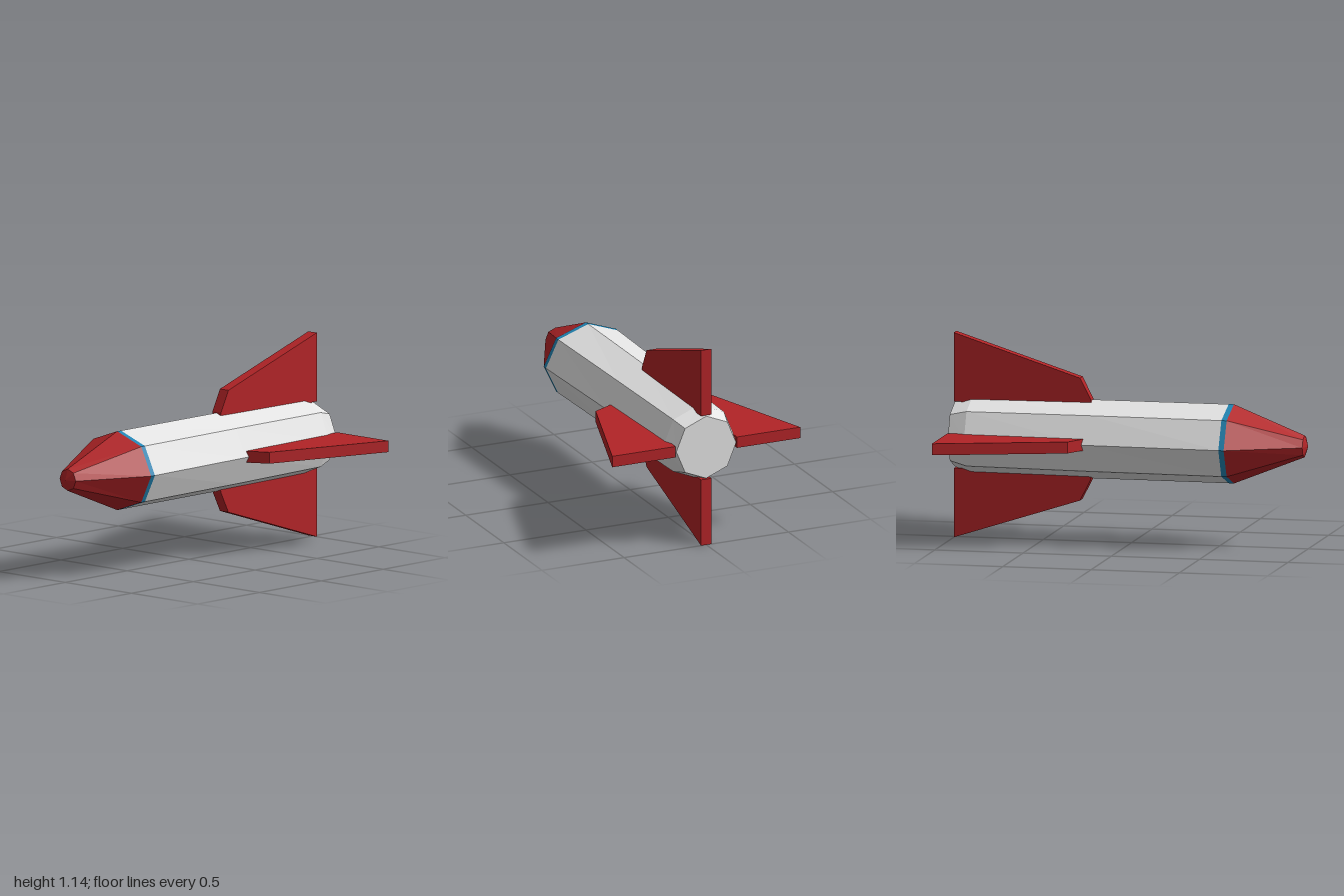
import * as THREE from 'three';

const SIDES = 8;
const AXIS_Y = 0.574; // height of the rocket's long axis

const material = (name, color) => {
  const m = new THREE.MeshStandardMaterial({ color });
  m.name = name;
  return m;
};

// Faceted skin through elliptical octagon stations [z, rx, ry], listed back to front
function octagonLoft(stations) {
  const point = ([z, rx, ry], i) => {
    const a = ((i % SIDES) / SIDES) * Math.PI * 2;
    return [rx * Math.cos(a), ry * Math.sin(a), z];
  };
  const positions = [];
  for (let s = 0; s < stations.length - 1; s++) {
    const back = stations[s], front = stations[s + 1];
    for (let i = 0; i < SIDES; i++) {
      const a = point(back, i), b = point(back, i + 1);
      const c = point(front, i + 1), d = point(front, i);
      if (back[1] > 0) positions.push(...a, ...b, ...c);
      if (front[1] > 0) positions.push(...a, ...c, ...d);
    }
  }
  const geometry = new THREE.BufferGeometry();
  geometry.setAttribute('position', new THREE.Float32BufferAttribute(positions, 3));
  geometry.computeVertexNormals();
  return geometry;
}

// Swept fin plate: x is distance from the axis, y is position along z
function finGeometry(thickness) {
  const shape = new THREE.Shape([
    [0.2, -0.22], [0.225, -0.225], [0.342, -0.285], [0.572, -1],
    [0.187, -1], [0.187, -0.96], [0.17, -0.92],
  ].map(([r, z]) => new THREE.Vector2(r, z)));
  const geometry = new THREE.ExtrudeGeometry(shape, { depth: thickness, bevelEnabled: false });
  geometry.translate(0, 0, -thickness / 2);
  geometry.rotateX(Math.PI / 2); // shape y becomes z
  return geometry;
}

export function createModel() {
  const red = material('red', 0xb22427);
  const white = material('white', 0xe4e4e4);
  const blue = material('blue', 0x2285b4);

  const rocket = new THREE.Group();
  rocket.name = 'rocket';
  rocket.position.y = AXIS_Y;
  const add = (name, geometry, mat) => {
    const mesh = new THREE.Mesh(geometry, mat);
    mesh.name = name;
    rocket.add(mesh);
    return mesh;
  };

  // Body with closed, chamfered tail
  add('body', octagonLoft([
    [-1, 0, 0], [-1, 0.182, 0.182], [-0.9, 0.218, 0.215],
    [-0.2, 0.238, 0.22], [0.55, 0.257, 0.221],
  ]), white);

  // Coloured ring between body and nose
  add('noseBand', octagonLoft([[0.55, 0.257, 0.221], [0.58, 0.257, 0.221]]), blue);

  // Nose cone with blunt tip
  add('noseCone', octagonLoft([
    [0.58, 0.257, 0.221], [0.98, 0.061, 0.061], [1, 0, 0],
  ]), red);

  // Four fins around the tail
  const fin = finGeometry(0.064);
  ['leftFin', 'topFin', 'rightFin', 'bottomFin'].forEach((name, i) => {
    add(name, fin, red).rotation.z = (i * Math.PI) / 2;
  });

  const model = new THREE.Group();
  model.name = 'model';
  model.add(rocket);
  return model;
}
